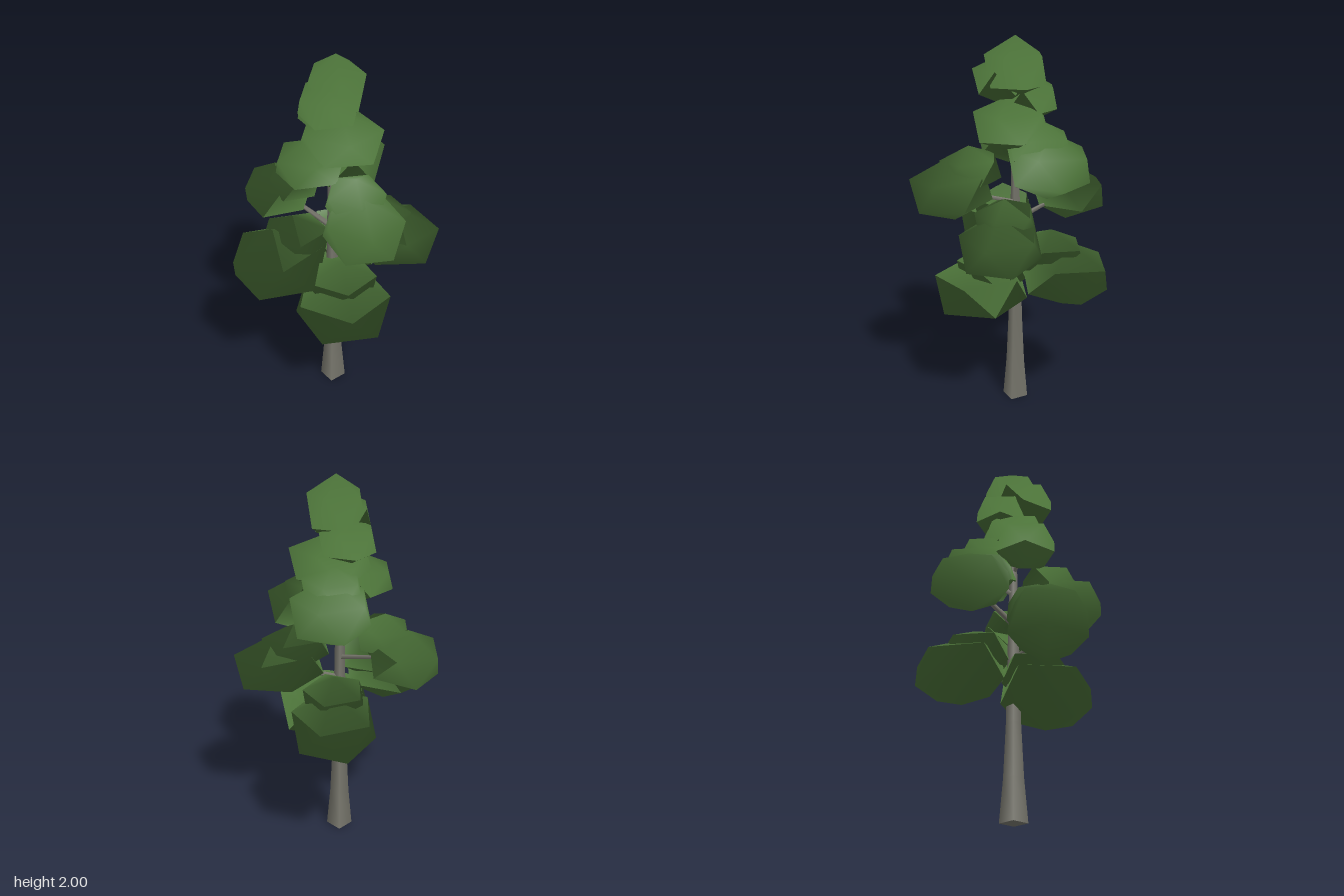
import * as THREE from 'three';

const foliage = new THREE.MeshStandardMaterial({ color: 0x4c7339 });
foliage.name = 'leaf green';
const bark = new THREE.MeshStandardMaterial({ color: 0x79786e });
bark.name = 'grey bark';

const crownCentre = new THREE.Vector3(0, 1.22, 0);
const trunkX = -0.025, trunkZ = 0.012;

// Twenty-sided leaf clump standing on its pole and drooping outward;
// its normals fan out from the crown so the canopy shades as one mass
function clump(name, [x, y, z], [rx, ry, rz]) {
  const geo = new THREE.IcosahedronGeometry(1, 0);
  geo.rotateZ(Math.atan2(2, 1 + Math.sqrt(5)));
  geo.rotateY(Math.PI);
  geo.scale(rx, ry, rz);
  const droop = 0.3 * Math.hypot(x, z);
  const axis = new THREE.Vector3(z, 0, -x).normalize();
  geo.applyMatrix4(new THREE.Matrix4().makeRotationAxis(axis, droop));
  geo.translate(x, y, z);
  const pos = geo.attributes.position;
  const v = new THREE.Vector3();
  for (let i = 0; i < pos.count; i++) {
    v.fromBufferAttribute(pos, i).sub(crownCentre).normalize();
    geo.attributes.normal.setXYZ(i, v.x, v.y, v.z);
  }
  const mesh = new THREE.Mesh(geo, foliage);
  mesh.name = name;
  return mesh;
}

// Thin tapered limb between two points
function limb(name, from, to, r0, r1) {
  const a = new THREE.Vector3(...from);
  const b = new THREE.Vector3(...to);
  const dir = b.clone().sub(a);
  const mesh = new THREE.Mesh(new THREE.CylinderGeometry(r1, r0, dir.length(), 4), bark);
  mesh.position.copy(a).add(b).multiplyScalar(0.5);
  mesh.quaternion.setFromUnitVectors(new THREE.Vector3(0, 1, 0), dir.normalize());
  mesh.name = name;
  return mesh;
}

export function createModel() {
  const tree = new THREE.Group();
  tree.name = 'tree';

  // Four-sided flared trunk with a flat base
  const profile = [[0.07, 0], [0.051, 0.22], [0.038, 0.5], [0.029, 0.95], [0.02, 1.4], [0.008, 1.75]]
    .map(([r, h]) => new THREE.Vector2(r, h));
  const trunk = new THREE.Mesh(new THREE.LatheGeometry(profile, 4), bark);
  trunk.position.set(trunkX, 0, trunkZ);
  trunk.name = 'trunk';
  const base = new THREE.Mesh(new THREE.CircleGeometry(0.07, 4).rotateX(Math.PI / 2), bark);
  base.position.copy(trunk.position);
  base.name = 'trunkBase';
  tree.add(trunk, base);

  // Clumps around the top of the trunk: centre, radii
  const upper = [
    ['topClump', [-0.005, 1.83, 0.005], [0.16, 0.17, 0.175]],
    ['topFrontClump', [-0.03, 1.775, 0.07], [0.17, 0.13, 0.18]],
    ['upperBackClump', [-0.06, 1.685, -0.055], [0.16, 0.125, 0.155]],
    ['upperClump', [0.02, 1.565, 0.02], [0.235, 0.145, 0.21]],
    ['upperSideClump', [-0.125, 1.455, 0.08], [0.195, 0.13, 0.18]],
  ];
  upper.forEach(([name, centre, radii]) => tree.add(clump(name, centre, radii)));
  tree.add(limb('upperSideBranch', [trunkX, 1.35, trunkZ], upper[4][1], 0.014, 0.008));

  // Boughs: a branch, a large clump and a smaller one set inward and above
  const boughs = [
    ['upperRear', [0.02, 1.36, -0.18], [0.225, 0.175, 0.24], 1.22],
    ['front', [0.163, 1.238, 0.295], [0.22, 0.165, 0.23], 1.14],
    ['rearSide', [-0.343, 1.125, -0.195], [0.205, 0.155, 0.225], 1.04],
    ['side', [0.293, 1.007, -0.01], [0.255, 0.163, 0.225], 0.92],
    ['lowSide', [-0.285, 0.925, 0.19], [0.27, 0.208, 0.23], 0.82],
    ['lowRear', [0.005, 0.785, -0.265], [0.24, 0.178, 0.265], 0.72],
    ['lowFront', [0.05, 0.668, 0.18], [0.28, 0.185, 0.27], 0.62],
  ];
  for (const [name, [x, y, z], radii, height] of boughs) {
    tree.add(
      limb(`${name}Branch`, [trunkX, height, trunkZ], [x, y, z], 0.016, 0.008),
      clump(`${name}Clump`, [x, y, z], radii),
      clump(`${name}SmallClump`, [x * 0.7, y + 0.1, z * 0.7], radii.map((r) => r * 0.75)),
    );
  }

  return tree;
}
